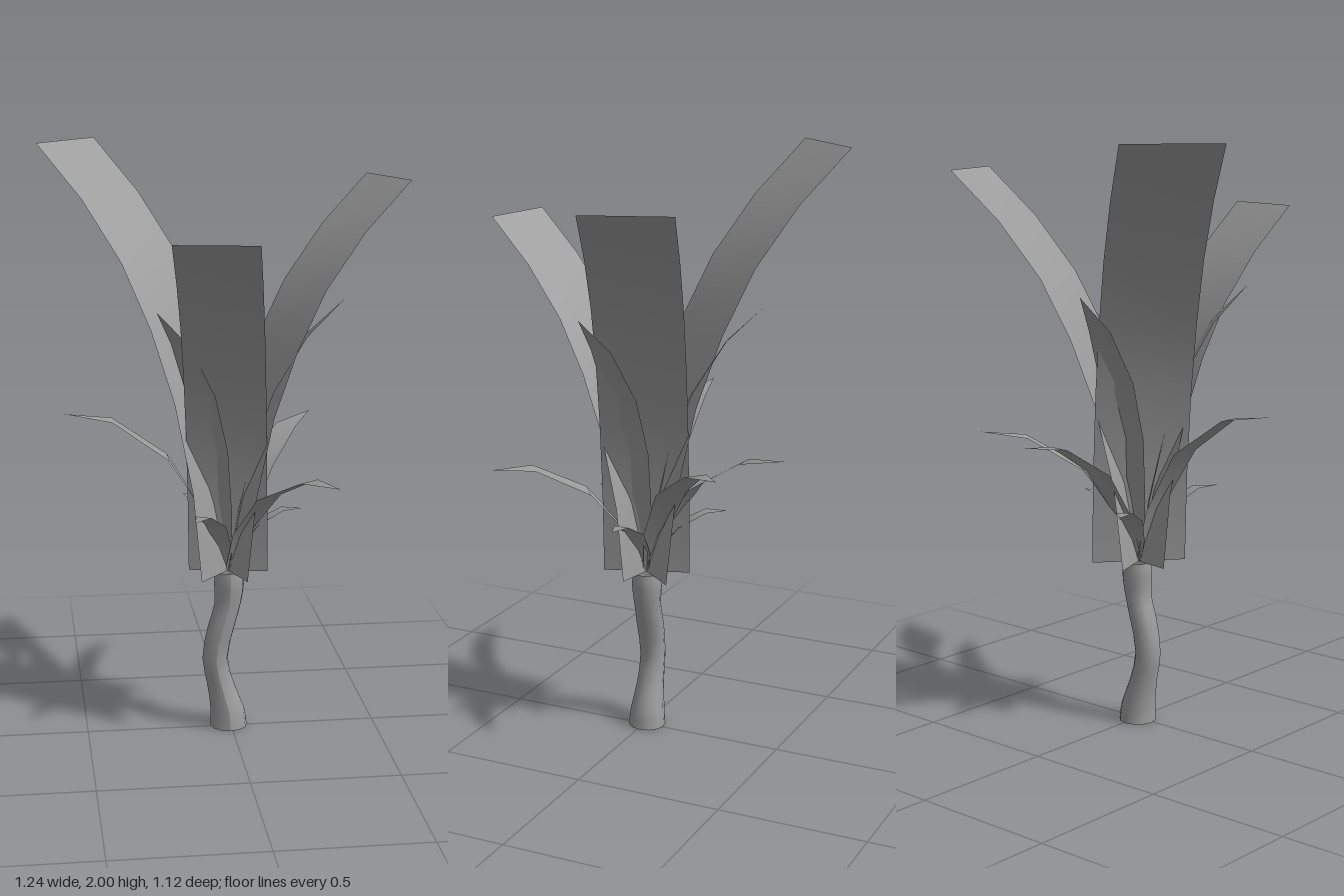
import * as THREE from 'three';

const material = new THREE.MeshStandardMaterial({ color: 0x9b9b9b, side: THREE.DoubleSide });
const CROWN = new THREE.Vector3(-0.01, 0.565, -0.005);

// Midribs as [outward, up] fractions of the full reach and rise
const UPRIGHT = [[0, 0], [0.05, 0.21], [0.16, 0.42], [0.3, 0.585], [0.475, 0.735], [0.715, 0.875], [1, 1]];
const MEDIUM = [[0, 0], [0.09, 0.23], [0.22, 0.47], [0.4, 0.68], [0.68, 0.87], [1, 1]];
const ARCHING = [[0, 0], [0.13, 0.34], [0.37, 0.72], [0.71, 0.955], [1, 1]];
const DROOPING = [[0, 0], [0.13, 0.38], [0.38, 0.77], [0.73, 0.998], [1, 1]];

// Half-width fraction along a pointed leaf, t from base to tip
const pointed = (t) => 0.25 * (1 - t) + 0.9 * Math.sin(Math.PI * Math.pow(t, 1.08));
const straight = () => 1;

// A flat blade bent along a midrib from the crown to its tip
function blade(name, tip, midrib, width, outline) {
  const out = new THREE.Vector3(tip[0] - CROWN.x, 0, tip[2] - CROWN.z);
  const rise = tip[1] - CROWN.y;
  const side = new THREE.Vector3(out.z, 0, -out.x).normalize();
  const rows = midrib.length - 1;
  const geometry = new THREE.PlaneGeometry(1, 1, 1, rows);
  const pos = geometry.attributes.position;
  for (let i = 0; i <= rows; i++) {
    const [r, h] = midrib[i];
    const half = (width / 2) * Math.max(0.002, outline(i / rows));
    for (let j = 0; j < 2; j++) {
      const p = CROWN.clone().addScaledVector(out, r).addScaledVector(side, (j ? 1 : -1) * half);
      pos.setXYZ(i * 2 + j, p.x, p.y + rise * h, p.z);
    }
  }
  geometry.computeVertexNormals();
  const mesh = new THREE.Mesh(geometry, material);
  mesh.name = name;
  return mesh;
}

// Swaying open tube: curve points hold centre x, height and radius
function trunk() {
  const path = new THREE.CatmullRomCurve3([
    [-0.008, 0, 0.064], [-0.012, 0.06, 0.059], [-0.035, 0.15, 0.047], [-0.055, 0.25, 0.044],
    [-0.032, 0.37, 0.047], [-0.01, 0.45, 0.046], [-0.006, 0.52, 0.052], [-0.006, 0.565, 0.048],
  ].map((p) => new THREE.Vector3(...p)));
  const geometry = new THREE.CylinderGeometry(1, 1, 1, 12, 14, true);
  const pos = geometry.attributes.position;
  for (let i = 0; i < pos.count; i++) {
    const c = path.getPoint(THREE.MathUtils.clamp(pos.getY(i) + 0.5, 0, 1));
    pos.setXYZ(i, c.x + pos.getX(i) * c.z, c.y, -0.008 + pos.getZ(i) * c.z);
  }
  geometry.computeVertexNormals();
  const mesh = new THREE.Mesh(geometry, material);
  mesh.name = 'trunk';
  return mesh;
}

export function createModel() {
  const model = new THREE.Group();
  model.name = 'plant';
  model.add(trunk());

  // Three broad square-ended fronds
  const fronds = [
    [[-0.52, 2.0, -0.44], 0.32],
    [[0.57, 1.885, -0.212], 0.295],
    [[-0.112, 1.758, 0.537], 0.27],
  ];
  for (const [tip, width] of fronds) model.add(blade('broadFrond', tip, UPRIGHT, width, straight));

  // Upright pointed leaves
  for (const tip of [[-0.27, 1.51, 0.25], [-0.1, 1.51, -0.39], [0.375, 1.51, 0.05]]) {
    model.add(blade('uprightLeaf', tip, MEDIUM, 0.13, pointed));
  }

  // Low arching leaves
  for (const tip of [[-0.56, 1.13, -0.01], [0.025, 1.03, -0.52], [0.335, 1.03, -0.41]]) {
    model.add(blade('archingLeaf', tip, ARCHING, 0.11, pointed));
  }
  model.add(blade('archingLeaf', [0.3, 0.955, 0.42], DROOPING, 0.11, pointed));

  // Small inner leaves
  for (const tip of [[-0.15, 0.81, 0.245], [0.245, 0.78, 0], [-0.14, 0.78, -0.25]]) {
    model.add(blade('smallLeaf', tip, DROOPING, 0.075, pointed));
  }
  return model;
}
